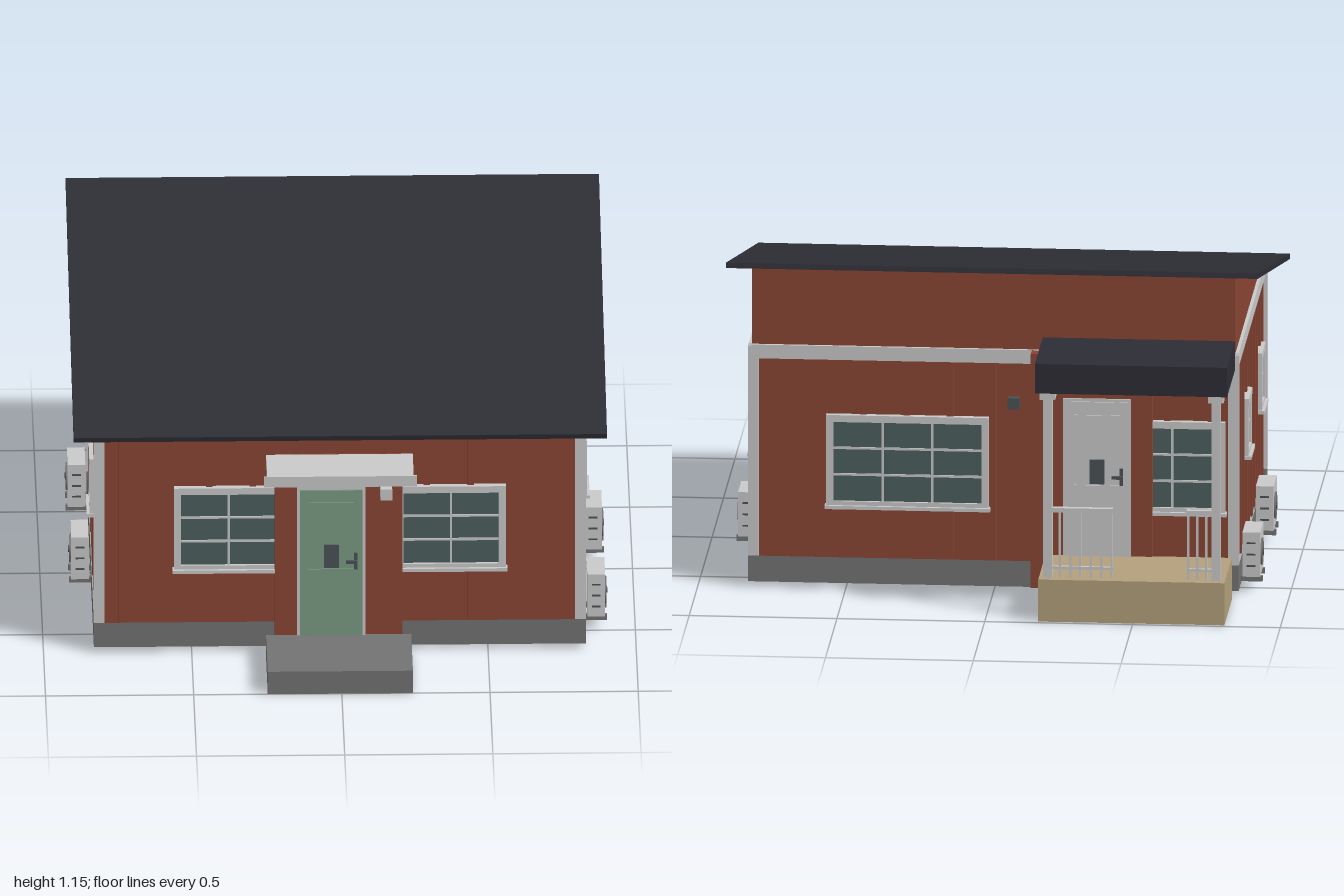
import * as THREE from 'three';

const mat = (name, color, side = THREE.FrontSide) => {
  const m = new THREE.MeshStandardMaterial({ color, side });
  m.name = name;
  return m;
};

export function createModel() {
  const D = THREE.DoubleSide;
  const brick = mat('red brown siding', 0x8a4534, D);
  const roofDark = mat('dark roofing', 0x2d2d35, D);
  const trim = mat('pale grey trim', 0xcacaca);
  const stone = mat('grey concrete', 0x737373, D);
  const glass = mat('window glass', 0x4d5f5f);
  const green = mat('green door', 0x7a9c82);
  const tan = mat('tan decking', 0xb3a07c, D);
  const dark = mat('dark fittings', 0x4a5256);

  const model = new THREE.Group();
  model.name = 'house';

  const add = (parent, name, geometry, material) => {
    const m = new THREE.Mesh(geometry, material);
    m.name = name;
    parent.add(m);
    return m;
  };
  // Box given by its limits on each axis
  const box = (parent, name, material, [x0, x1], [y0, y1], [z0, z1]) => {
    const m = add(parent, name, new THREE.BoxGeometry(x1 - x0, y1 - y0, z1 - z0), material);
    m.position.set((x0 + x1) / 2, (y0 + y1) / 2, (z0 + z1) / 2);
    return m;
  };
  // Box without its bottom, and optionally without its top
  const shell = (parent, name, material, xs, ys, zs, noTop = false) => {
    const m = box(parent, name, material, xs, ys, zs);
    const i = Array.from(m.geometry.index.array);
    m.geometry.setIndex([...i.slice(0, noTop ? 12 : 18), ...i.slice(24)]);
    m.geometry.clearGroups();
    return m;
  };

  // Height of the underside of the roof at depth z
  const SLOPE = 0.2246;
  const roofY = z => 0.814 + SLOPE * (0.73 - z);

  // A wall frame: local x runs along the wall, local z points outward
  const frame = (name, x, z, turn) => {
    const g = new THREE.Group();
    g.name = name;
    g.position.set(x, 0, z);
    g.rotation.y = turn;
    model.add(g);
    return g;
  };
  const front = frame('frontWall', 0, 0.638, 0);
  const back = frame('backWall', 0, -0.608, Math.PI);
  const left = frame('leftWall', 0.818, 0.015, Math.PI / 2);
  const right = frame('rightWall', -0.818, 0.015, -Math.PI / 2);

  // Siding, battens, corner boards and frieze of one wall
  const wall = (g, half, h0, h1, step, n) => {
    const s = new THREE.Shape();
    s.moveTo(-half, 0.1);
    s.lineTo(half, 0.1);
    s.lineTo(half, h1);
    s.lineTo(-half, h0);
    add(g, 'siding', new THREE.ShapeGeometry(s), brick);
    for (let i = -n; i <= n; i++) {
      const x = i * step;
      box(g, 'batten', brick, [x - 0.011, x + 0.011], [0.11, 0.805], [0, 0.01]);
    }
    for (const k of [-1, 1]) {
      const a = k * (half + 0.012), b = k * (half - 0.024);
      box(g, 'cornerBoard', trim, [Math.min(a, b), Math.max(a, b)], [0.11, 0.845], [-0.004, 0.0125]);
    }
    box(g, 'frieze', trim, [-half, half], [0.8, 0.848], [0, 0.011]);
  };
  const zF = 0.638, zB = -0.608;
  wall(front, 0.818, roofY(zF), roofY(zF), 0.147, 5);
  wall(back, 0.818, roofY(zB), roofY(zB), 0.147, 5);
  wall(left, 0.623, roofY(zF), roofY(zB), 0.118, 4);
  wall(right, 0.623, roofY(zB), roofY(zF), 0.118, 4);

  // Window with surround, muntins and projecting sill
  const windowUnit = (parent, x, y0, y1, w, cols, rows) => {
    const g = new THREE.Group();
    g.name = 'window';
    parent.add(g);
    const x0 = x - w / 2, x1 = x + w / 2, t = 0.024;
    box(g, 'pane', glass, [x0 + 0.01, x1 - 0.01], [y0 + 0.01, y1 - 0.01], [-0.003, 0.0125]);
    for (const a of [x0, x1 - t]) box(g, 'jamb', trim, [a, a + t], [y0, y1], [0.001, 0.022]);
    box(g, 'head', trim, [x0, x1], [y1 - t, y1], [0.001, 0.023]);
    box(g, 'bottomRail', trim, [x0, x1], [y0, y0 + t], [0.001, 0.022]);
    box(g, 'sill', trim, [x0 - 0.005, x1 + 0.005], [y0 - 0.002, y0 + 0.01], [0.001, 0.032]);
    for (let i = 1; i < cols; i++) {
      const a = x0 + t + (w - 2 * t) * i / cols;
      box(g, 'muntin', trim, [a - 0.004, a + 0.004], [y0 + t, y1 - t], [0.01, 0.017]);
    }
    for (let i = 1; i < rows; i++) {
      const b = y0 + t + (y1 - y0 - 2 * t) * i / rows;
      box(g, 'muntin', trim, [x0 + t, x1 - t], [b - 0.004, b + 0.004], [0.01, 0.0165]);
    }
  };
  for (const k of [-1, 1]) windowUnit(front, k * 0.375, 0.3, 0.61, 0.37, 2, 3);
  windowUnit(back, -0.29, 0.285, 0.61, 0.55, 3, 3);
  windowUnit(back, 0.605, 0.285, 0.61, 0.36, 2, 3);
  for (const u of [-0.205, 0.345]) windowUnit(left, u, 0.4, 0.61, 0.155, 2, 2);
  for (const u of [-0.255, 0.325]) windowUnit(right, u, 0.4, 0.61, 0.155, 2, 2);

  // Foundation ring and main roof
  shell(model, 'foundation', stone, [-0.83, 0.83], [0.02, 0.11], [-0.62, 0.65], true);
  const roof = add(model, 'mainRoof', new THREE.BoxGeometry(1.8, 0.018, 1.455), roofDark);
  roof.position.set(0, 0.983, 0.02);
  roof.rotation.x = Math.atan(SLOPE);

  // Door with frame, two raised panels, small light and handle
  const door = (parent, x, y0, z, leaf) => {
    const g = new THREE.Group();
    g.name = 'door';
    g.position.set(x, y0, z);
    parent.add(g);
    box(g, 'doorFrame', trim, [-0.115, 0.115], [0, 0.55], [0, 0.006]);
    box(g, 'doorLeaf', leaf, [-0.105, 0.105], [0.002, 0.54], [0.002, 0.011]);
    for (const [a, b] of [[0.1, 0.25], [0.345, 0.495]])
      box(g, 'doorPanel', leaf, [-0.078, 0.078], [a, b], [0.01, 0.015]);
    box(g, 'doorLight', dark, [-0.025, 0.025], [0.255, 0.34], [0.01, 0.017]);
    box(g, 'handlePlate', dark, [0.077, 0.088], [0.25, 0.31], [0.01, 0.018]);
    box(g, 'handle', dark, [0.05, 0.088], [0.275, 0.285], [0.018, 0.028]);
  };

  // Front entrance: projecting bay, door, canopy, lamp and step
  shell(front, 'entranceBay', brick, [-0.22, 0.21], [0.03, 0.725], [0.0, 0.062]);
  door(front, -0.03, 0.082, 0.062, green);
  box(front, 'canopy', trim, [-0.25, 0.245], [0.727, 0.75], [0.06, 0.25]);
  box(front, 'canopyLip', trim, [-0.26, 0.255], [0.718, 0.757], [0.25, 0.257]);
  box(front, 'lamp', trim, [0.135, 0.175], [0.6, 0.64], [0.07, 0.11]);
  box(front, 'lampBracket', dark, [0.145, 0.165], [0.61, 0.645], [0.06, 0.075]);
  shell(model, 'frontStep', stone, [-0.25, 0.24], [0, 0.083], [0.7, 1]);

  // Back entrance
  shell(back, 'backBay', brick, [0.13, 0.54], [0.03, 0.848], [0.0, 0.06]);
  door(back, 0.355, 0.147, 0.06, trim);
  box(back, 'backLamp', dark, [0.05, 0.09], [0.645, 0.685], [0.01, 0.035]);

  // Porch deck, posts, beam and roof
  shell(model, 'porchDeck', tan, [-0.81, -0.18], [0, 0.147], [-0.985, -0.66]);
  for (const x of [-0.78, -0.21]) {
    box(model, 'porchPost', trim, [x - 0.015, x + 0.015], [0.147, 0.78], [-0.96, -0.93]);
    box(model, 'postCap', trim, [x - 0.026, x + 0.026], [0.772, 0.802], [-0.971, -0.919]);
  }
  box(model, 'porchBeam', trim, [-0.815, -0.175], [0.8, 0.83], [-0.965, -0.925]);
  box(model, 'porchCeiling', trim, [-0.815, -0.175], [0.83, 0.836], [-0.99, -0.67]);
  shell(model, 'porchRoof', roofDark, [-0.82, -0.17], [0.802, 0.905], [-1, -0.66]);

  // Short balustrades on both sides of the porch opening
  for (const [a, b, n] of [[-0.43, -0.21, 6], [-0.78, -0.68, 3]]) {
    box(model, 'handrail', trim, [a, b], [0.375, 0.39], [-0.955, -0.935]);
    box(model, 'footRail', trim, [a, b], [0.175, 0.185], [-0.95, -0.94]);
    for (let i = 0; i <= n; i++) {
      const x = a + 0.005 + (b - a - 0.01) * i / n;
      box(model, 'baluster', trim, [x - 0.004, x + 0.004], [0.147, 0.38], [-0.949, -0.941]);
    }
  }

  // Heat pumps with round fan grille, side vents and brackets
  const heatPump = (parent, u) => {
    const g = new THREE.Group();
    g.name = 'heatPump';
    g.position.set(u, 0, 0);
    parent.add(g);
    box(g, 'casing', trim, [-0.072, 0.072], [0.055, 0.21], [0.02, 0.08]);
    const fan = add(g, 'fanGrille', new THREE.CylinderGeometry(0.047, 0.047, 0.006, 12), stone);
    fan.rotation.x = Math.PI / 2;
    fan.position.set(-0.015, 0.13, 0.082);
    const hub = add(g, 'fanHub', new THREE.CylinderGeometry(0.012, 0.012, 0.004, 12), dark);
    hub.rotation.x = Math.PI / 2;
    hub.position.set(-0.015, 0.13, 0.086);
    for (const x of [-0.05, 0.05])
      box(g, 'bracket', stone, [x - 0.006, x + 0.006], [0.035, 0.055], [0.01, 0.087]);
    for (const y of [0.09, 0.13, 0.17])
      box(g, 'sideVent', dark, [-0.074, 0.074], [y, y + 0.006], [0.035, 0.065]);
  };
  for (const u of [-0.422, 0.125]) heatPump(left, u);
  for (const u of [-0.505, 0.085]) heatPump(right, u);

  return model;
}
